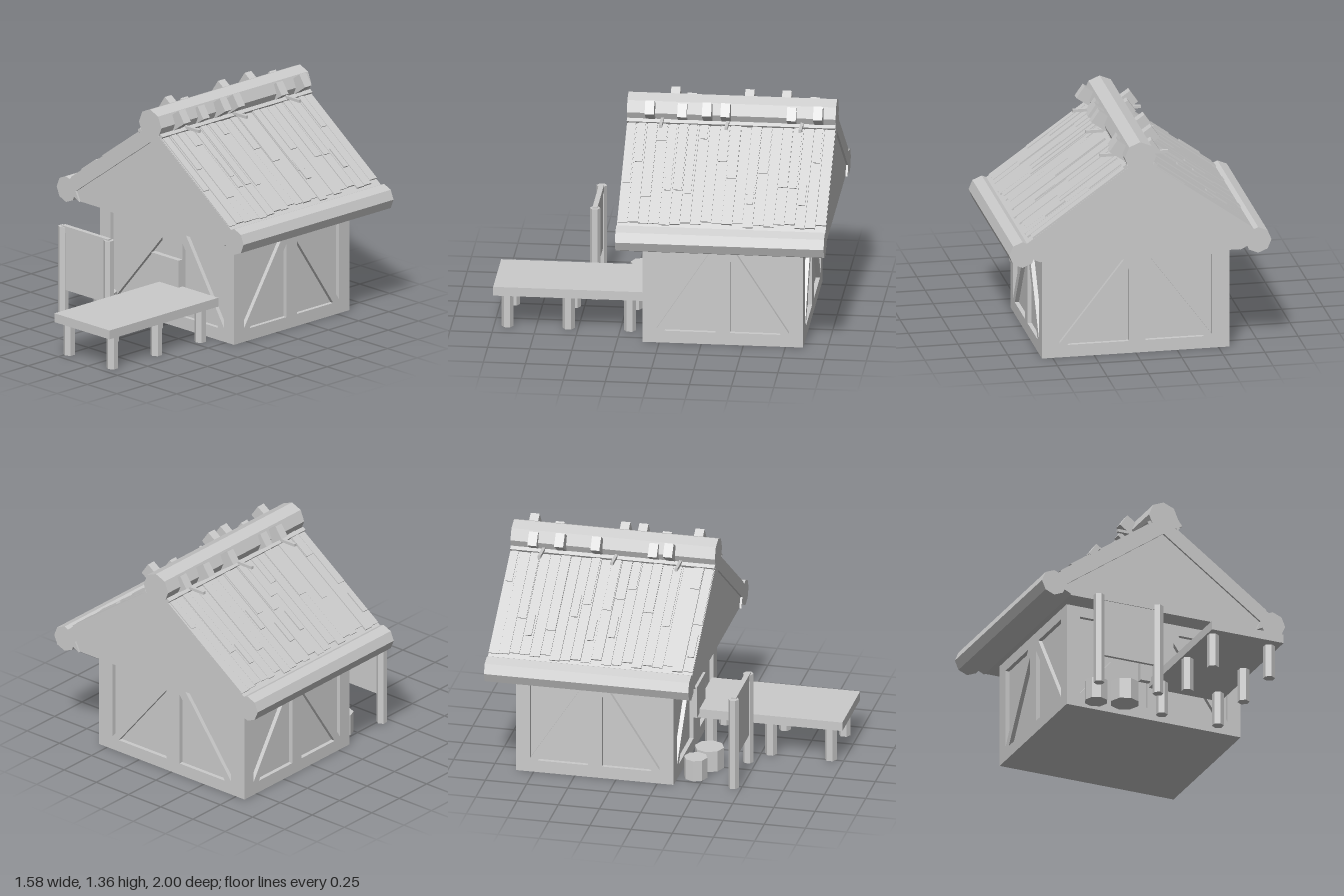
import * as THREE from 'three';

const mat = new THREE.MeshStandardMaterial({ color: 0xcccccc, flatShading: true, side: THREE.DoubleSide });

function add(parent, name, geo, x = 0, y = 0, z = 0) {
  const m = new THREE.Mesh(geo, mat);
  m.name = name;
  m.position.set(x, y, z);
  parent.add(m);
  return m;
}
const box = (w, h, d) => new THREE.BoxGeometry(w, h, d);

function polygon(points, Type = THREE.Shape) {
  return new Type(points.map(([x, y]) => new THREE.Vector2(x, y)));
}

function extrude(shape, depth) {
  return new THREE.ExtrudeGeometry(shape, { depth, bevelEnabled: false });
}

// Small seeded generator for uneven planks
function seeded(seed) {
  return () => {
    seed = (seed * 16807) % 2147483647;
    return seed / 2147483647;
  };
}

// Timber wall: frame with pairs of triangular openings either side of a brace
function timberWall(width, windows) {
  const y0 = 0.075, y1 = 0.585, g = 0.06, h = 0.08;
  const shape = polygon([[-width / 2, 0], [width / 2, 0], [width / 2, 0.65], [-width / 2, 0.65]]);
  for (const [a, b] of windows) {
    // a is the foot of the brace, b its head
    const s = Math.sign(b - a) * g;
    shape.holes.push(polygon([[a, y0 + 0.01], [a, y1], [b - s * 0.5, y1]], THREE.Path));
    shape.holes.push(polygon([[a + s * 0.8, y0], [b, y1 - h * 0.7], [b, y0]], THREE.Path));
  }
  return extrude(shape, 0.025);
}

function buildHouse() {
  const house = new THREE.Group();
  house.name = 'house';
  const zc = -0.378, W = 1.13, D = 0.955, t = 0.025;
  add(house, 'wallCore', box(W - 2 * t, 0.65, D - 2 * t), 0, 0.325, zc);
  const sideWindows = [[-0.395, -0.043], [0.392, 0.042]];
  add(house, 'frontWall', timberWall(W, [[-0.48, -0.04], [0.48, 0.13]]), 0, 0, zc + D / 2 - t);
  add(house, 'backWall', timberWall(W, [[-0.46, -0.04], [0.46, 0.06]]), 0, 0, zc - D / 2 + t).rotation.y = Math.PI;
  for (const s of [1, -1]) {
    add(house, 'sideWall', timberWall(D, sideWindows), s * (W / 2 - t), 0, zc).rotation.y = s * Math.PI / 2;
  }
  return house;
}

// Octagonal log running from front to back
function log(parent, name, r, x, y) {
  const m = add(parent, name, new THREE.CylinderGeometry(r, r, 1.24, 8), x, y, -0.38);
  m.rotation.x = Math.PI / 2;
  return m;
}

function buildRoof() {
  const roof = new THREE.Group();
  roof.name = 'roof';
  // Solid gable body, set in slightly from the slab ends
  add(roof, 'gable', extrude(polygon([[-0.6, 0.65], [0.6, 0.65], [0.63, 0.71], [0, 1.165], [-0.63, 0.71]]), 1.215), 0, 0, -0.9875);
  add(roof, 'roofSlab', extrude(polygon([
    [0, 1.262], [0.7, 0.762], [0.7, 0.7], [0.6, 0.65], [0.63, 0.71], [0, 1.16],
    [-0.63, 0.71], [-0.6, 0.65], [-0.7, 0.7], [-0.7, 0.762],
  ]), 1.24), 0, 0, -1);
  log(roof, 'ridgeLog', 0.095, 0, 1.268);

  const slope = 0.62, rows = 20, step = 1.24 / rows;
  for (const s of [1, -1]) {
    log(roof, 'eaveLog', 0.08, s * 0.71, 0.705);
    const rnd = seeded(s > 0 ? 4217 : 9311);
    const planks = new THREE.Group();
    planks.name = s > 0 ? 'leftPlanks' : 'rightPlanks';
    // A plank between two distances down the slope from the ridge, lifted off the slab
    const plank = (from, to, lift, thick, w, z) => {
      const mid = (from + to) / 2, n = lift + thick / 2;
      const m = add(planks, 'plank', box(to - from, thick, w),
        s * (mid * Math.cos(slope) + n * Math.sin(slope)),
        1.262 - mid * Math.sin(slope) + n * Math.cos(slope), z);
      m.rotation.z = -s * slope;
    };
    for (let i = 0; i < rows; i++) {
      const z = 0.24 - (i + 0.5) * step;
      const thick = 0.005 + rnd() * 0.006;
      plank(0.06, 0.79 + rnd() * 0.04, -0.003, thick + 0.003, step * (0.93 + rnd() * 0.07), z);
      // Overlapping shorter boards
      if (rnd() < 0.65) {
        const end = 0.2 + rnd() * 0.5;
        plank(0.06, end, thick, 0.006, step * (0.6 + rnd() * 0.35), z);
      }
      if (rnd() < 0.25) {
        const a = 0.3 + rnd() * 0.3;
        plank(a, a + 0.15, thick, 0.009, step * 0.6, z);
      }
    }
    roof.add(planks);

    // Rail and crossed billets pinning down the ridge
    const rail = add(roof, 'ridgeRail', box(0.025, 0.02, 1.24), s * 0.09, 1.215, -0.38);
    rail.rotation.z = -s * slope;
    const billets = s > 0 ? [0.1, -0.09, -0.24, -0.35, -0.74, -0.9] : [-0.03, -0.13, -0.47, -0.69, -0.86];
    billets.forEach((z, i) => {
      const len = 0.1 + (i % 3 === 1 ? -0.02 : 0.02);
      const m = add(roof, 'ridgeBillet', box(len, 0.085, 0.055),
        s * (0.05 + len / 2 * 0.82), 1.255 + len / 2 * 0.57, z);
      m.rotation.z = s * 0.61;
    });
    for (const z of [0.03, -0.36, -0.8]) {
      add(roof, 'ridgePeg', box(0.15, 0.018, 0.018), s * 0.13, 1.228, z);
    }
  }
  return roof;
}

function post(parent, name, r, h, x, z, sides = 6) {
  return add(parent, name, new THREE.CylinderGeometry(r, r, h, sides), x, h / 2, z);
}

function buildTable() {
  const table = new THREE.Group();
  table.name = 'table';
  add(table, 'tableTop', box(0.465, 0.055, 0.9), 0.2, 0.235, 0.55);
  for (const x of [0.01, 0.375])
    for (const z of [0.92, 0.557, 0.193]) post(table, 'tableLeg', 0.036, 0.21, x, z);
  return table;
}

function buildSign() {
  const sign = new THREE.Group();
  sign.name = 'signBoard';
  for (const x of [-0.516, -0.134]) post(sign, 'signPost', 0.032, 0.57, x, 0.452);
  add(sign, 'signPanel', box(0.35, 0.36, 0.02), -0.325, 0.36, 0.452);
  add(sign, 'signRail', box(0.39, 0.042, 0.03), -0.32, 0.557, 0.452);
  return sign;
}

export function createModel() {
  const model = new THREE.Group();
  model.name = 'cottage';
  model.add(buildHouse(), buildRoof(), buildTable(), buildSign());
  // Stumps by the front wall, and a block against it
  post(model, 'stump', 0.07, 0.13, -0.42, 0.2, 8);
  post(model, 'stump', 0.088, 0.13, -0.255, 0.245, 8);
  add(model, 'wallBlock', box(0.23, 0.195, 0.035), 0.015, 0.3325, 0.115);
  return model;
}
